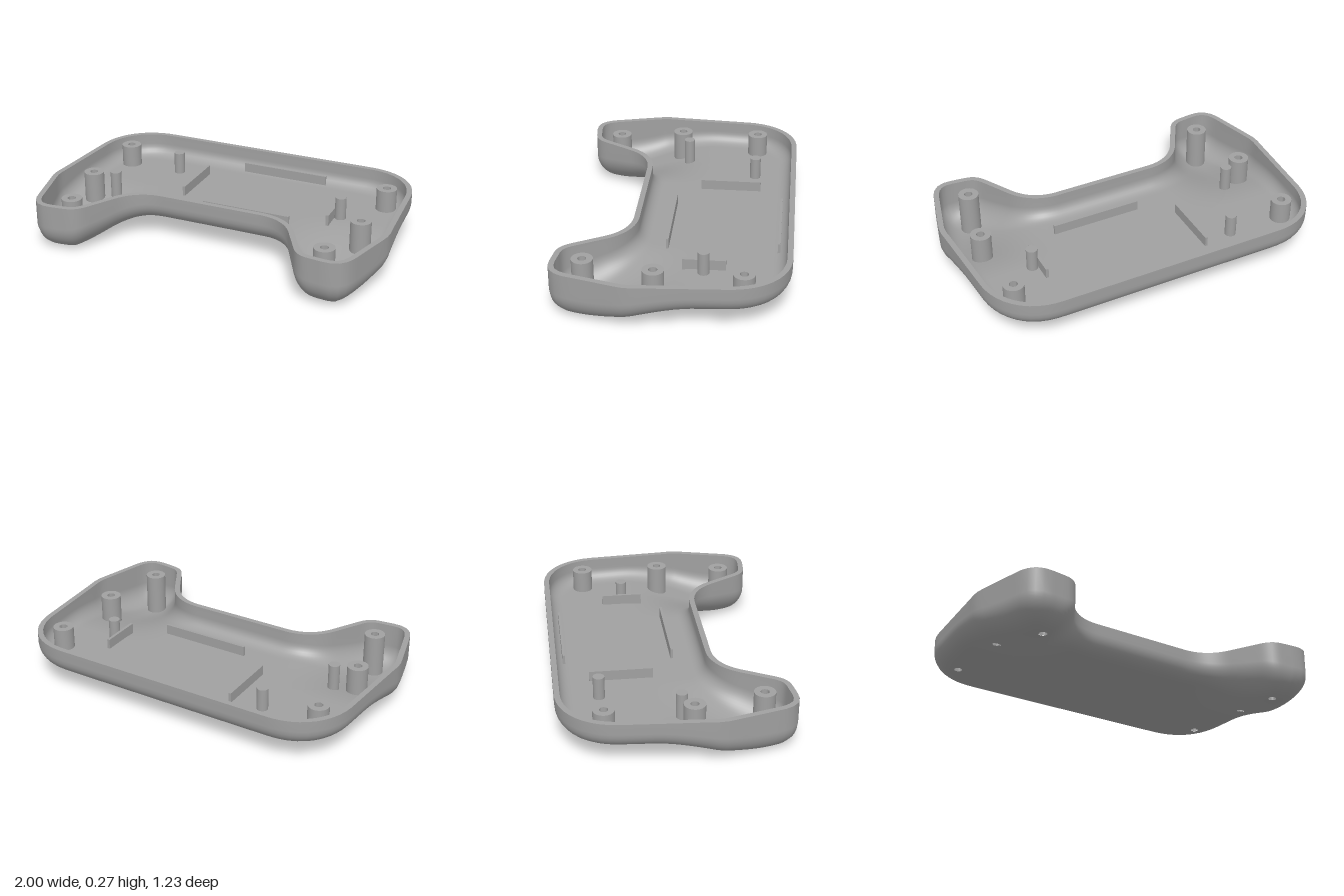
import * as THREE from 'three';
import { toCreasedNormals } from 'three/addons/utils/BufferGeometryUtils.js';

const TOP = 0.275, WALL = 0.03, N = 48, RINGS = 18, BORE = 0.022;
const bosses = [[0.81, -0.38], [0.81, 0.08], [0.738, 0.452]].flatMap(([x, z]) => [[x, z], [-x, z]]);
const posts = [[-0.485, -0.38], [0.615, -0.16], [-0.695, 0.03]];
// ribs: centre x, centre z, size x, size z
const ribs = [[0.133, -0.545, 0.515, 0.014], [0.133, 0.053, 0.515, 0.014],
  [-0.31, -0.247, 0.014, 0.345], [0.577, -0.16, 0.016, 0.23]];

// Plan outline of one half: outer chain, inner chain, and the spine they both close onto
function planColumns() {
  const outer = new THREE.Path().moveTo(0, -0.62).lineTo(0.64, -0.62)
    .bezierCurveTo(0.82, -0.62, 0.945, -0.5, 0.965, -0.33).lineTo(0.997, 0.15)
    .quadraticCurveTo(1.005, 0.2, 0.99, 0.25).lineTo(0.92, 0.52)
    .bezierCurveTo(0.895, 0.59, 0.86, 0.62, 0.78, 0.612).getSpacedPoints(N);
  const inner = new THREE.Path().moveTo(0, 0.242).lineTo(0.29, 0.242)
    .bezierCurveTo(0.4, 0.242, 0.47, 0.3, 0.51, 0.37).lineTo(0.6, 0.53)
    .bezierCurveTo(0.64, 0.6, 0.68, 0.6, 0.72, 0.605).lineTo(0.78, 0.612).getSpacedPoints(N);
  const spine = new THREE.Path().moveTo(0, -0.19).lineTo(0.45, -0.16)
    .quadraticCurveTo(0.68, -0.1, 0.72, 0.1).lineTo(0.78, 0.46).getSpacedPoints(N);
  const cols = [];
  const add = (chain, i, m) => cols.push({ x: m * chain[i].x, z: chain[i].y, sx: m * spine[i].x, sz: spine[i].y });
  for (let i = 0; i < N; i++) add(outer, i, 1);
  for (let i = N; i > 0; i--) add(inner, i, 1);
  for (let i = 0; i < N; i++) add(inner, i, -1);
  for (let i = N; i > 0; i--) add(outer, i, -1);
  return cols;
}

// Move the outline inwards by a constant distance
function inset(cols, d) {
  const n = cols.length;
  return cols.map((c, i) => {
    const a = cols[(i + n - 1) % n], b = cols[(i + 1) % n];
    const tx = b.x - a.x, tz = b.z - a.z, l = Math.hypot(tx, tz);
    return { ...c, x: c.x - tz / l * d, z: c.z + tx / l * d };
  });
}

function edgeDistance(cols, x, z) {
  let best = Infinity;
  cols.forEach((a, i) => {
    const b = cols[(i + 1) % cols.length];
    const dx = b.x - a.x, dz = b.z - a.z;
    const t = THREE.MathUtils.clamp(((x - a.x) * dx + (z - a.z) * dz) / (dx * dx + dz * dz || 1), 0, 1);
    best = Math.min(best, Math.hypot(a.x + t * dx - x, a.z + t * dz - z));
  });
  return best;
}

// Underside height: flat body dropping into the grips, with a round fillet at the edge
function height(cols, x, z, offset) {
  const grip = THREE.MathUtils.smoothstep(Math.abs(x), 0.36, 0.74) * THREE.MathUtils.smoothstep(z, -0.15, 0.47);
  const r = 0.1 + 0.045 * grip - offset;
  const k = Math.max(0, 1 - edgeDistance(cols, x, z) / r);
  return 0.115 * (1 - grip) + offset + r * (1 - Math.sqrt(1 - k * k));
}

function shellRings(cols, offset) {
  const rings = [cols.map(c => [c.x, TOP, c.z])];
  for (let k = 0; k <= RINGS; k++) {
    const s = Math.pow(k / RINGS, 1.8);
    rings.push(cols.map(c => {
      const x = c.x + (c.sx - c.x) * s, z = c.z + (c.sz - c.z) * s;
      return [x, height(cols, x, z, offset), z];
    }));
  }
  return rings;
}

// Cut a convex polygon against a round hole, keeping the pieces outside it
function cutHole(poly, [hx, hz]) {
  if (poly.every(p => Math.hypot(p[0] - hx, p[2] - hz) > 0.25)) return [poly];
  const kept = [];
  let rest = poly;
  for (let e = 0; e < 16; e++) {
    const cx = Math.cos(e * Math.PI / 8), cz = Math.sin(e * Math.PI / 8);
    const out = [], ins = [];
    rest.forEach((p, i) => {
      const q = rest[(i + 1) % rest.length];
      const dp = (p[0] - hx) * cx + (p[2] - hz) * cz - BORE;
      const dq = (q[0] - hx) * cx + (q[2] - hz) * cz - BORE;
      (dp >= 0 ? out : ins).push(p);
      if ((dp >= 0) !== (dq >= 0)) {
        const m = p.map((v, j) => v + (q[j] - v) * dp / (dp - dq));
        out.push(m);
        ins.push(m);
      }
    });
    if (out.length > 2) kept.push(out);
    rest = ins;
    if (rest.length < 3) return [poly];
  }
  return kept;
}

// Skin closed rings with smooth normals, optionally pierced by the screw holes
function skin(rings, flip, holes = []) {
  const m = rings[0].length, index = [];
  for (let k = 0; k + 1 < rings.length; k++) for (let j = 0; j < m; j++) {
    const a = k * m + j, b = k * m + (j + 1) % m, c = a + m, d = b + m;
    index.push(...(flip ? [a, c, b, b, c, d] : [a, b, c, b, d, c]));
  }
  const base = new THREE.BufferGeometry();
  base.setAttribute('position', new THREE.Float32BufferAttribute(rings.flat(2), 3));
  base.setIndex(index);
  base.computeVertexNormals();
  const P = base.attributes.position, Q = base.attributes.normal, pos = [], nor = [];
  const vert = i => [P.getX(i), P.getY(i), P.getZ(i), Q.getX(i), Q.getY(i), Q.getZ(i)];
  for (let t = 0; t < index.length; t += 3) {
    let pieces = [[vert(index[t]), vert(index[t + 1]), vert(index[t + 2])]];
    for (const h of holes) pieces = pieces.flatMap(p => cutHole(p, h));
    for (const p of pieces) for (let i = 1; i + 1 < p.length; i++) for (const v of [p[0], p[i], p[i + 1]]) {
      pos.push(v[0], v[1], v[2]);
      nor.push(v[3], v[4], v[5]);
    }
  }
  const geo = new THREE.BufferGeometry();
  geo.setAttribute('position', new THREE.Float32BufferAttribute(pos, 3));
  geo.setAttribute('normal', new THREE.Float32BufferAttribute(nor, 3));
  return geo;
}

export function createModel() {
  const group = new THREE.Group();
  group.name = 'controllerBottomShell';
  const grey = new THREE.MeshStandardMaterial({ color: 0xa0a0a0 });
  grey.name = 'grey plastic';
  const add = (name, geo, x = 0, y = 0, z = 0) => {
    const mesh = new THREE.Mesh(geo, grey);
    mesh.name = name;
    mesh.position.set(x, y, z);
    group.add(mesh);
  };

  // Shell: outside, inside and flat rim
  const outline = planColumns(), inside = inset(outline, WALL);
  const outerRings = shellRings(outline, 0), innerRings = shellRings(inside, WALL);
  add('outerShell', skin(outerRings, false, bosses));
  add('innerShell', skin(innerRings, true, bosses));
  add('rim', skin([outerRings[0], innerRings[0]], true));

  // Hollow screw bosses, open right through the floor
  for (const [x, z] of bosses) {
    const b = height(outline, x, z, 0);
    const profile = [[0.057, b + 0.018], [0.057, 0.271], [BORE + 0.001, 0.271], [BORE + 0.001, b + 0.003]];
    const lathe = new THREE.LatheGeometry(profile.map(p => new THREE.Vector2(...p)), 28);
    add('screwBoss', toCreasedNormals(lathe, 0.7), x, 0, z);
  }

  // Solid support posts
  for (const [x, z] of posts) {
    const b = height(outline, x, z, 0) + 0.012;
    add('supportPost', new THREE.CylinderGeometry(0.031, 0.031, 0.271 - b, 24), x, (0.271 + b) / 2, z);
  }

  // Low board ribs
  for (const [x, z, w, d] of ribs) add('boardRib', new THREE.BoxGeometry(w, 0.078, d), x, 0.163, z);

  return group;
}
